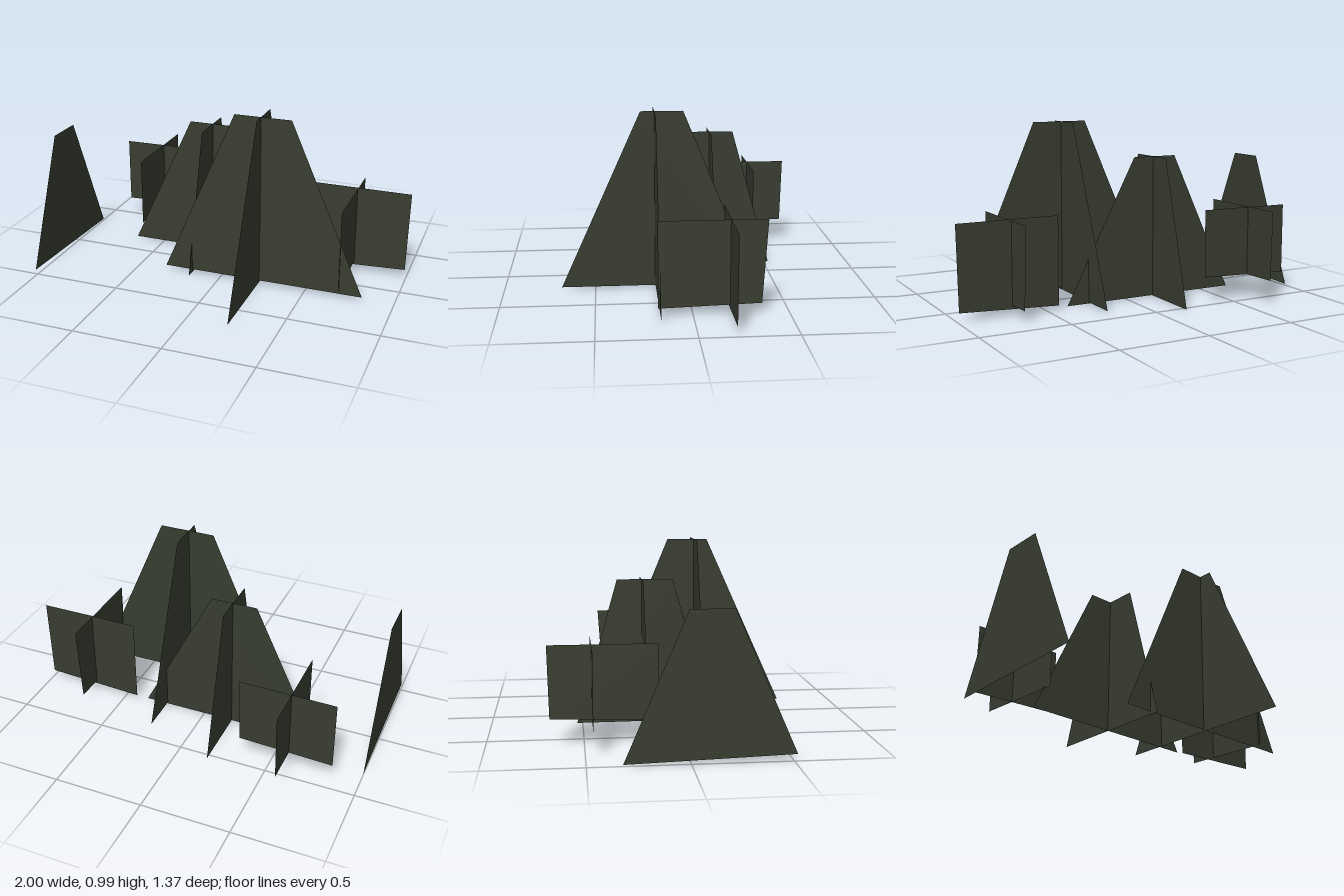
import * as THREE from 'three';

const foliage = new THREE.MeshStandardMaterial({ color: 0x383d30, side: THREE.DoubleSide });
foliage.name = 'dark foliage green';

// Flat four-cornered card; corners are [across, up] pairs
function card(name, corners) {
  const shape = new THREE.Shape(corners.map(([a, y]) => new THREE.Vector2(a, y)));
  const mesh = new THREE.Mesh(new THREE.ShapeGeometry(shape), foliage);
  mesh.name = name;
  return mesh;
}

// Card spanning left to right at depth z
function wideCard(z, corners) {
  const mesh = card('wideCard', corners);
  mesh.position.z = z;
  return mesh;
}

// Card spanning back to front at position x
function deepCard(x, corners) {
  const mesh = card('deepCard', corners);
  mesh.rotation.y = -Math.PI / 2;
  mesh.position.x = x;
  return mesh;
}

function plant(name, ...cards) {
  const group = new THREE.Group();
  group.name = name;
  group.add(...cards);
  return group;
}

export function createModel() {
  const model = new THREE.Group();
  model.name = 'shrubCluster';

  model.add(
    // Tapered shrubs made of crossed cards
    plant('tallShrub',
      wideCard(0.17, [[-0.335, 0.02], [0.825, 0.02], [0.405, 0.985], [0.085, 0.985]]),
      deepCard(0.235, [[-0.39, 0.01], [0.685, 0.01], [0.245, 0.985], [0.015, 0.985]])),
    plant('middleShrub',
      wideCard(-0.17, [[-0.68, 0.003], [0.365, 0.003], [-0.05, 0.797], [-0.31, 0.797]]),
      deepCard(-0.172, [[-0.53, 0], [0.225, 0.003], [0, 0.797], [-0.305, 0.797]])),

    // Tapered shrub with a single card
    plant('sideShrub',
      deepCard(-1, [[-0.326, 0.008], [0.517, 0.035], [0.207, 0.747], [-0.011, 0.747]])),

    // Box-shaped bushes made of crossed cards
    plant('leftBush',
      wideCard(-0.19, [[0.426, 0.02], [0.99, 0.047], [1, 0.512], [0.426, 0.512]]),
      deepCard(0.695, [[-0.355, 0.058], [0.18, 0.042], [0.18, 0.504], [-0.383, 0.504]])),
    plant('rightBush',
      wideCard(-0.46, [[-0.86, 0.125], [-0.335, 0.145], [-0.33, 0.52], [-0.86, 0.515]]),
      deepCard(-0.617, [[-0.675, 0.14], [-0.12, 0.125], [-0.12, 0.52], [-0.685, 0.52]])),
  );
  return model;
}
